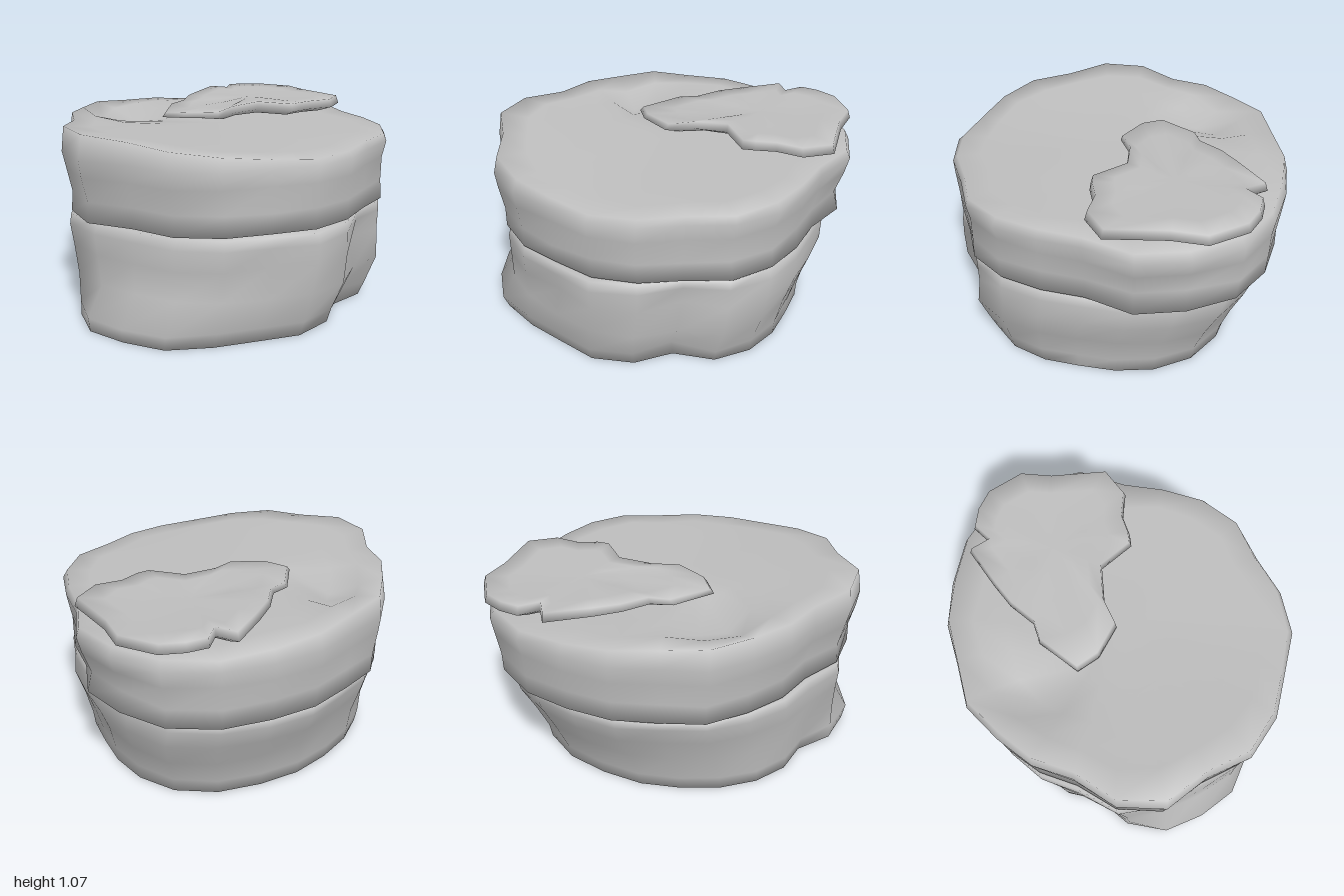
import * as THREE from 'three';

// Repeatable unevenness from two numbers, about -1..1
const rough = (a, b) => {
  const s = Math.sin(a * 12.9898 + b * 78.233) * 43758.5453;
  return (s - Math.floor(s)) * 2 - 1;
};
const bell = (d, w) => Math.exp(-(d * d) / (w * w));
const ramp = (v, from, to) => Math.min(1, Math.max(0, (v - from) / (to - from)));

// Smooth normals where every face counts equally, so large flat faces keep soft edges
function softNormals(pos, index) {
  const sums = pos.map(() => new THREE.Vector3());
  const e1 = new THREE.Vector3(), e2 = new THREE.Vector3();
  for (let i = 0; i < index.length; i += 3) {
    const tri = index.slice(i, i + 3);
    const [a, b, c] = tri.map(k => pos[k]);
    e1.subVectors(b, a).cross(e2.subVectors(c, a)).normalize();
    tri.forEach(k => sums[k].add(e1));
  }
  return sums.flatMap(v => v.normalize().toArray());
}

// Skin a stack of closed loops (bottom to top) and close both ends
function loft(rings) {
  const n = rings[0].length, index = [];
  const pos = rings.flat().map(p => new THREE.Vector3(...p));
  for (let j = 0; j < rings.length - 1; j++) {
    for (let i = 0; i < n; i++) {
      const a = j * n + i, b = j * n + (i + 1) % n;
      index.push(a, a + n, b, b, a + n, b + n);
    }
  }
  // Underside: one strip running back and forth across the loop
  for (let lo = 0, hi = n - 1; lo + 1 < hi; lo++, hi--) {
    index.push(lo, lo + 1, hi);
    if (lo + 1 < hi - 1) index.push(lo + 1, hi - 1, hi);
  }
  // Top: fan around the middle
  const base = (rings.length - 1) * n, mid = new THREE.Vector3();
  for (let i = 0; i < n; i++) {
    mid.addScaledVector(pos[base + i], 1 / n);
    index.push(base + i, rings.length * n, base + (i + 1) % n);
  }
  pos.push(mid);
  const g = new THREE.BufferGeometry();
  g.setAttribute('position', new THREE.Float32BufferAttribute(pos.flatMap(p => p.toArray()), 3));
  g.setAttribute('normal', new THREE.Float32BufferAttribute(softNormals(pos, index), 3));
  g.setIndex(index);
  return g;
}

// Slab from radii at 15 degree steps, counted from +x towards +z.
// level: [y, scaleX, scaleZ, shiftX, shiftZ, roughness]; dent: [degrees, y, push, width]
function slab(radii, levels, dents, topHeight) {
  return loft(levels.map(([y, sx, sz, ox, oz, amount], j) => radii.map((r, i) => {
    const deg = i * 15, t = deg * Math.PI / 180;
    let rr = r + amount * rough(i + 1, j + 1);
    for (const [ad, dy, push, width] of dents) {
      rr += push * bell(deg - ad, width) * bell(y - dy, 0.11);
    }
    const x = Math.cos(t) * rr * sx + ox, z = Math.sin(t) * rr * sz + oz;
    return [x, topHeight && y > 0.95 ? topHeight(x, z) + y - 1 : y, z];
  })));
}

export function createModel() {
  const group = new THREE.Group();
  const stone = new THREE.MeshStandardMaterial({ color: 0xbebebe });
  stone.name = 'grey stone';
  const add = (name, geometry) => {
    const mesh = new THREE.Mesh(geometry, stone);
    mesh.name = name;
    group.add(mesh);
  };

  // Lower slab: narrows to the ground at the back, with a foot at front -x
  const lower = [
    0.89, 0.91, 0.93, 0.93, 0.87, 0.92, 0.96, 0.93, 0.95, 0.95, 0.92, 0.94,
    0.96, 0.88, 0.89, 0.89, 0.90, 0.90, 0.93, 0.95, 0.99, 1.01, 0.97, 0.92];
  add('lowerSlab', slab(lower, [
    [0.005, 0.945, 0.85, -0.05, 0.065, 0.005],
    [0.09, 0.95, 0.875, -0.045, 0.07, 0.008],
    [0.25, 0.965, 0.92, -0.02, 0.06, 0.01],
    [0.41, 0.995, 0.963, 0, 0.03, 0.01],
    [0.52, 0.995, 0.985, 0, 0.01, 0.008],
    [0.575, 0.98, 0.985, 0, 0.005, 0.005],
    [0.583, 0.85, 0.85, 0, 0, 0],
  ], [[60, 0.4, -0.06, 10], [58, 0.07, -0.09, 10], [75, 0.25, 0.02, 8], [105, 0.4, -0.02, 8],
    [143, 0.06, 0.12, 17], [163, 0.06, 0.07, 9], [195, 0.03, -0.07, 14],
    [165, 0.27, -0.01, 13], [45, 0.2, 0.03, 13]]));

  // Upper slab: rim raised at -x and along the back, with a hollow in its top
  const upper = [
    0.91, 0.92, 0.95, 0.95, 0.90, 0.93, 0.95, 0.93, 0.97, 0.99, 0.94, 1.01,
    0.975, 0.87, 0.89, 0.90, 0.94, 0.92, 0.96, 0.99, 1.05, 1.09, 1.07, 1.03];
  const topHeight = (x, z) => 0.97 + 0.085 * Math.max(0, -x) ** 1.3
    - 0.03 * Math.max(0, z) ** 3
    + 0.035 * ramp(-z, 0.25, 0.75) * ramp(-x, -0.35, -0.1)
    - 0.13 * bell(Math.hypot(x + 0.4, z + 0.48), 0.15);
  add('upperSlab', slab(upper, [
    [0.587, 0.85, 0.85, 0, 0, 0],
    [0.59, 0.97, 0.975, 0.005, 0, 0.006],
    [0.70, 0.96, 0.98, 0, 0, 0.01],
    [0.83, 0.985, 0.985, -0.005, 0, 0.01],
    [0.92, 1, 0.995, 0, 0, 0.005],
    [1.0, 0.98, 0.97, 0, 0, 0.005],
    [1.0, 0.83, 0.82, 0, 0, 0.02],
    [1.0, 0.66, 0.66, 0, 0, 0],
    [1.0, 0.4, 0.4, 0, 0, 0],
  ], [[110, 0.7, 0.015, 10], [335, 0.7, -0.03, 13]], topHeight));

  // Loose flake lying over the back +x quarter, with a slightly dished top
  const outline = [
    [0.94, -0.1], [0.8, 0.01], [0.65, 0], [0.54, 0.04], [0.47, 0.05], [0.32, -0.11],
    [0.12, -0.09], [-0.02, -0.02], [-0.2, -0.11], [-0.28, -0.22], [-0.13, -0.43],
    [-0.02, -0.47], [0.08, -0.6], [0.2, -0.7], [0.4, -0.85], [0.47, -0.75],
    [0.55, -0.84], [0.66, -0.83], [0.78, -0.78], [0.91, -0.6], [0.9, -0.42]];
  const flakeLevel = (scale, lift) => outline.map(([x, z], i) => {
    const px = 0.45 + (x - 0.45) * scale, pz = -0.4 + (z + 0.4) * scale;
    const thin = 0.5 + 0.5 * ramp(px, -0.28, 0.32);
    return [px, 1.005 + lift * thin - 0.02 * (pz + 0.4) + 0.004 * rough(i, 3), pz];
  });
  add('topFlake', loft([
    flakeLevel(0.3, -0.02), flakeLevel(0.85, -0.015), flakeLevel(1, 0.012),
    flakeLevel(0.97, 0.06), flakeLevel(0.72, 0.056), flakeLevel(0.4, 0.05),
  ]));

  return group;
}
